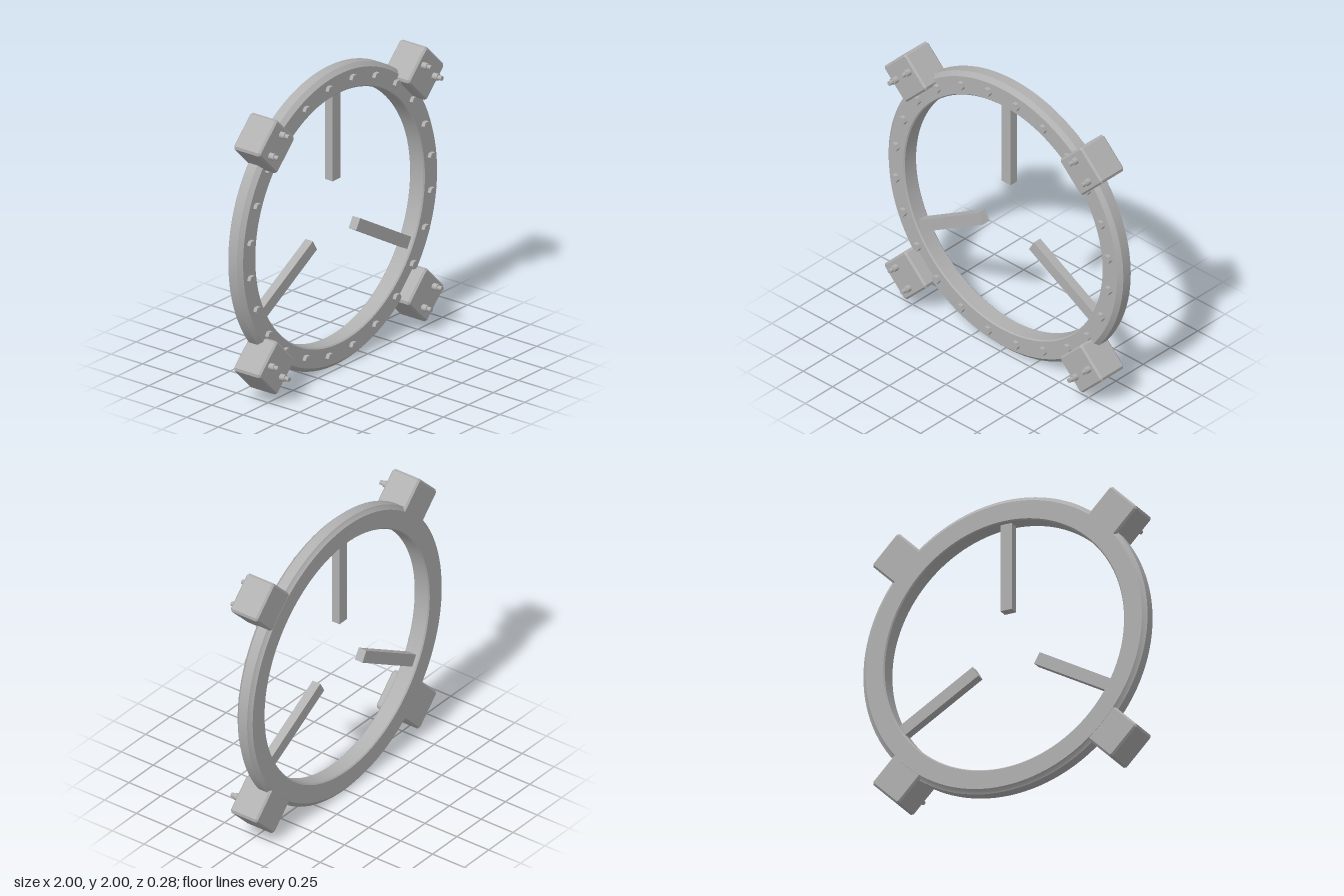
import * as THREE from 'three';
import { toCreasedNormals } from 'three/addons/utils/BufferGeometryUtils.js';

const steel = new THREE.MeshStandardMaterial({ color: 0xb0b0b0 });
steel.name = 'grey steel';

function add(parent, name, geometry, x = 0, y = 0, z = 0) {
  const mesh = new THREE.Mesh(geometry, steel);
  mesh.name = name;
  mesh.position.set(x, y, z);
  parent.add(mesh);
  return mesh;
}

// Closed ring with chamfered rims, turned so that its axis is z
function ringGeometry() {
  const profile = [
    [0.85, -0.14], [0.972, -0.14], [0.987, -0.125], [1, -0.118], [1, -0.05],
    [0.987, -0.037], [0.972, -0.022], [0.85, -0.022], [0.842, -0.03], [0.842, -0.132], [0.85, -0.14],
  ].map(([r, z]) => new THREE.Vector2(r, z));
  const geometry = new THREE.LatheGeometry(profile, 120).rotateX(Math.PI / 2);
  return toCreasedNormals(geometry, 0.3);
}

// Square block with cut corners and a bevel on its front and back edges
function blockGeometry() {
  const bevel = 0.012, h = 0.132 - bevel, c = 0.008;
  const shape = new THREE.Shape([
    [h, -h + c], [h, h - c], [h - c, h], [-h + c, h],
    [-h, h - c], [-h, -h + c], [-h + c, -h], [h - c, -h],
  ].map(([x, y]) => new THREE.Vector2(x, y)));
  const back = -0.139, front = 0.073;
  return new THREE.ExtrudeGeometry(shape, {
    depth: front - back - 2 * bevel, bevelEnabled: true,
    bevelSize: bevel, bevelThickness: bevel, bevelSegments: 1,
  }).translate(0, 0, back + bevel);
}

export function createModel() {
  const model = new THREE.Group();
  model.name = 'ringFrame';
  const frame = new THREE.Group();
  frame.name = 'frame';
  frame.position.y = 1;
  model.add(frame);

  add(frame, 'ring', ringGeometry());

  // Hexagonal bolts around the front face, points to the sides
  const boltGeometry = new THREE.CylinderGeometry(0.029, 0.029, 0.03, 6)
    .rotateY(Math.PI / 6).rotateX(Math.PI / 2);
  const boltFlat = toCreasedNormals(boltGeometry, 0.3);
  for (let i = 0; i < 24; i++) {
    const a = THREE.MathUtils.degToRad(7.5 + 15 * i);
    add(frame, 'bolt', boltFlat, 0.912 * Math.cos(a), 0.912 * Math.sin(a), -0.012);
  }

  // Four diagonal blocks, each with two stepped pins
  const block = blockGeometry();
  const pinBase = new THREE.CylinderGeometry(0.022, 0.022, 0.045, 24).rotateX(Math.PI / 2);
  const pinTip = new THREE.CylinderGeometry(0.015, 0.015, 0.04, 24).rotateX(Math.PI / 2);
  for (let i = 0; i < 4; i++) {
    const clamp = new THREE.Group();
    clamp.name = 'clamp';
    clamp.rotation.z = Math.PI / 4 + i * Math.PI / 2;
    frame.add(clamp);
    add(clamp, 'clampBlock', block, 1.06, 0, 0);
    for (const side of [-1, 1]) {
      add(clamp, 'pinBase', pinBase, 1.083, side * 0.076, 0.088);
      add(clamp, 'pinTip', pinTip, 1.083, side * 0.076, 0.12);
    }
  }

  // Three bars pointing at the centre
  const bar = new THREE.BoxGeometry(0.61, 0.08, 0.06);
  for (let i = 0; i < 3; i++) {
    const spoke = new THREE.Group();
    spoke.name = 'spoke';
    spoke.rotation.z = Math.PI / 2 + i * Math.PI * 2 / 3;
    frame.add(spoke);
    add(spoke, 'spokeBar', bar, 0.555, 0, -0.08);
  }
  return model;
}
